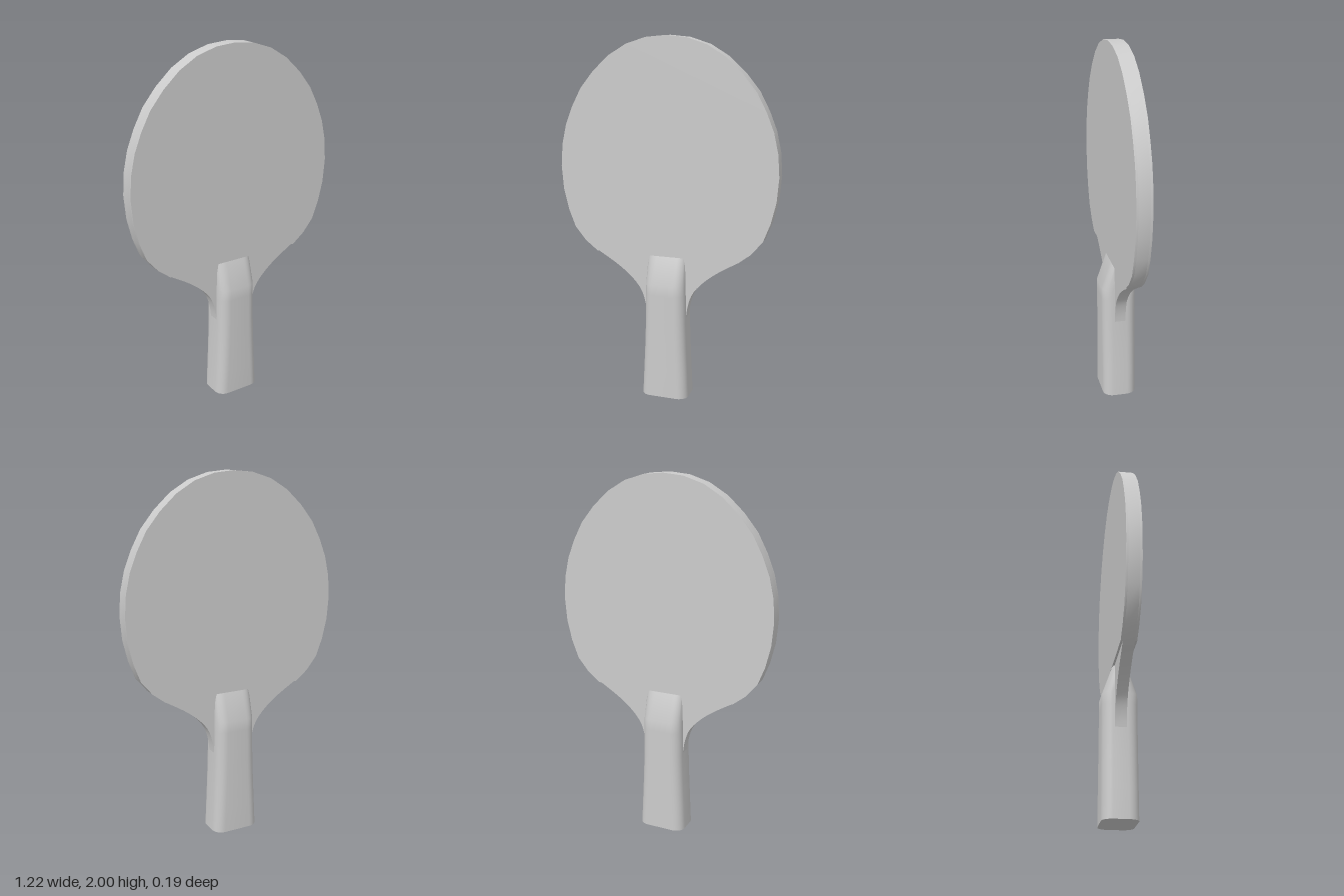
import * as THREE from 'three';
import { toCreasedNormals } from 'three/addons/utils/BufferGeometryUtils.js';

const material = new THREE.MeshStandardMaterial({ color: 0xcccccc });
const v2 = ([x, y]) => new THREE.Vector2(x, y);
const mirrored = (pts) => pts.map((p) => new THREE.Vector2(-p.x, p.y)).reverse();

// Right half of the blade, from the straight lower edge up to the tip
const bladeHalf = [
  [0.405, 0.815], [0.475, 0.87], [0.537, 0.945], [0.575, 1.045], [0.602, 1.16], [0.612, 1.29],
  [0.603, 1.41], [0.578, 1.52], [0.538, 1.62], [0.485, 1.72], [0.41, 1.812],
  [0.32, 1.895], [0.22, 1.955], [0.11, 1.99],
].map(v2);

// Concave shoulder from the handle out to the blade
const shoulder = new THREE.SplineCurve([
  [0.113, 0.45], [0.123, 0.53], [0.15, 0.61], [0.208, 0.68], [0.29, 0.745], [0.405, 0.815],
].map(v2)).getPoints(16).slice(0, -1);

// Extrudes a symmetric outline between two depths
function plate(name, half, z0, z1) {
  const shape = new THREE.Shape([...half, new THREE.Vector2(0, 2), ...mirrored(half)]);
  const geo = new THREE.ExtrudeGeometry(shape, { depth: z1 - z0, bevelEnabled: false });
  geo.translate(0, 0, z0);
  const mesh = new THREE.Mesh(toCreasedNormals(geo, 0.6), material);
  mesh.name = name;
  return mesh;
}

// Rounded rectangle ring with half width w and half depth d
function ring(w, d, y) {
  const rx = 0.055, rz = Math.min(0.055, d * 0.7), steps = 6, pts = [];
  for (let c = 0; c < 4; c++) {
    const sx = c === 0 || c === 3 ? 1 : -1, sz = c < 2 ? 1 : -1;
    for (let i = 0; i <= steps; i++) {
      const a = (c + i / steps) * Math.PI / 2;
      pts.push([sx * (w - rx) + rx * Math.cos(a), y, sz * (d - rz) + rz * Math.sin(a)]);
    }
  }
  return pts;
}

// Flared grip lofted through rings, thinning to the blade at its top
function handle() {
  const sections = [
    [0.134, 0.094, 0], [0.127, 0.094, 0.15], [0.12, 0.094, 0.3], [0.115, 0.094, 0.45],
    [0.113, 0.094, 0.6], [0.112, 0.094, 0.66], [0.108, 0.04, 0.815],
  ];
  const rings = sections.map((s) => ring(...s));
  const n = rings[0].length, pos = rings.flat(2), index = [];
  for (let r = 0; r < rings.length - 1; r++) {
    for (let i = 0; i < n; i++) {
      const a = r * n + i, b = r * n + (i + 1) % n;
      index.push(a, a + n, b, b, a + n, b + n);
    }
  }
  // End caps
  const last = (rings.length - 1) * n;
  for (let i = 1; i < n - 1; i++) {
    index.push(0, i, i + 1, last, last + i + 1, last + i);
  }
  const geo = new THREE.BufferGeometry();
  geo.setAttribute('position', new THREE.Float32BufferAttribute(pos, 3));
  geo.setIndex(index);
  const mesh = new THREE.Mesh(toCreasedNormals(geo, 0.6), material);
  mesh.name = 'handle';
  return mesh;
}

export function createModel() {
  const model = new THREE.Group();
  model.name = 'tableTennisBat';
  const tang = new THREE.Vector2(0.08, 0.3); // hidden inside the grip
  model.add(
    plate('woodenCore', [tang, ...shoulder, ...bladeHalf], -0.03, 0.03),
    plate('frontRubber', bladeHalf, 0.03, 0.041),
    plate('backRubber', bladeHalf, -0.041, -0.03),
    handle(),
  );
  return model;
}
